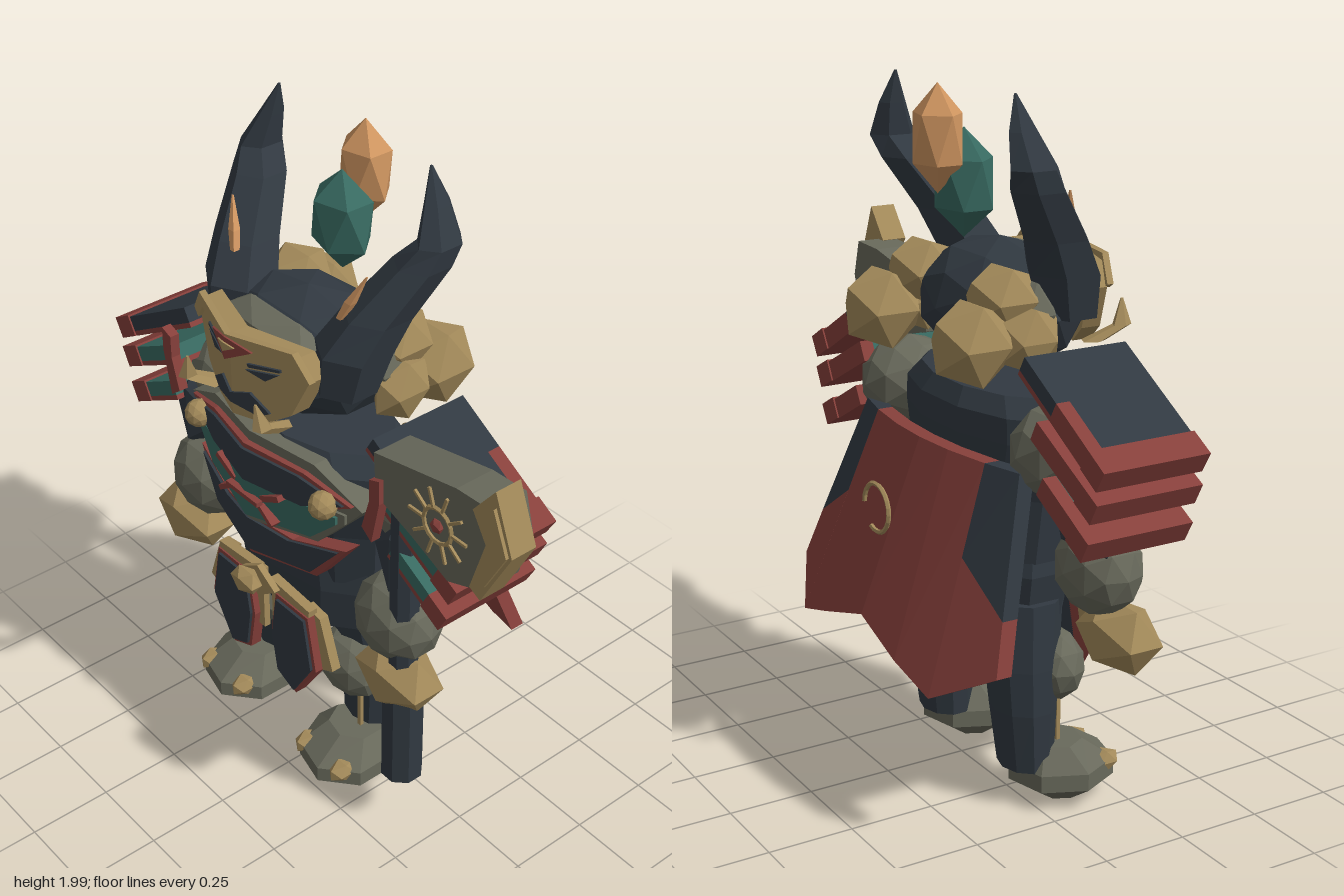
import * as THREE from 'three';

const mat = (name, color) => {
  const m = new THREE.MeshStandardMaterial({ color });
  m.name = name;
  return m;
};

export function createModel() {
  const dark = mat('dark blue steel', 0x313941), red = mat('dull red', 0x87403b);
  const teal = mat('teal', 0x386a61), gold = mat('old gold', 0xa38a5a);
  const stone = mat('stone', 0x68695b), orange = mat('amber', 0xcf9560);

  const root = new THREE.Group();
  root.name = 'hornedGuardian';
  const body = new THREE.Group();
  body.name = 'body';
  body.position.x = -0.11;
  root.add(body);

  // Faceted mesh from any geometry
  const add = (name, geo, material, pos = [0, 0, 0], parent = body) => {
    const g = geo.index ? geo.toNonIndexed() : geo;
    g.computeVertexNormals();
    const m = new THREE.Mesh(g, material);
    m.name = name;
    m.position.set(...pos);
    parent.add(m);
    return m;
  };
  const rock = (name, material, pos, scale, detail = 0, parent = body) =>
    add(name, new THREE.IcosahedronGeometry(1, detail).scale(...scale), material, pos, parent);
  const box = (name, size, material, pos, rz = 0, parent = body) => {
    const m = add(name, new THREE.BoxGeometry(...size), material, pos, parent);
    m.rotation.z = rz;
    return m;
  };

  // Closed body from level rings [x, y, z, rx, rz], listed bottom to top
  const loft = (name, rings, sides, material, parent = body) => {
    const p = [], idx = [];
    for (const [x, y, z, rx, rz] of rings)
      for (let j = 0; j < sides; j++) {
        const a = (j / sides) * Math.PI * 2 + Math.PI / sides;
        p.push(x + rx * Math.cos(a), y, z + rz * Math.sin(a));
      }
    const last = rings.length - 1, c0 = rings.length * sides;
    p.push(...rings[0].slice(0, 3), ...rings[last].slice(0, 3));
    for (let j = 0; j < sides; j++) {
      const k = (j + 1) % sides;
      for (let i = 0; i < last; i++) {
        const a = i * sides + j, b = i * sides + k;
        idx.push(a, a + sides, b, b, a + sides, b + sides);
      }
      idx.push(c0, j, k, c0 + 1, last * sides + k, last * sides + j);
    }
    const g = new THREE.BufferGeometry();
    g.setAttribute('position', new THREE.Float32BufferAttribute(p, 3));
    g.setIndex(idx);
    return add(name, g, material, [0, 0, 0], parent);
  };

  // Flat outline given thickness, then pushed in z by a rule
  const plate = (name, pts, depth, material, zRule, parent = body) => {
    const shape = new THREE.Shape(pts.map(([x, y]) => new THREE.Vector2(x, y)));
    const g = new THREE.ExtrudeGeometry(shape, { depth, bevelEnabled: false });
    const a = g.attributes.position;
    for (let i = 0; i < a.count; i++) a.setZ(i, a.getZ(i) + zRule(a.getX(i), a.getY(i)));
    return add(name, g, material, [0, 0, 0], parent);
  };
  const flip = (pts, s) => pts.map(([x, y]) => [x * s, y]);
  // Pair of mirrored halves swept back from the middle by a slope
  const wings = (name, half, depth, material, z, slope) => {
    for (const s of [-1, 1]) plate(name, flip(half, s), depth, material, (x) => z - slope * Math.abs(x));
  };
  const shrink = (pts, cx, sx, sy) => {
    const cy = pts.reduce((t, p) => t + p[1], 0) / pts.length;
    return pts.map(([x, y]) => [cx + (x - cx) * sx, cy + (y - cy) * sy]);
  };
  const rimmedWings = (name, half, depth, rim, fill, z, slope, sx, sy) => {
    wings(name + 'Rim', half, depth, rim, z, slope);
    wings(name, shrink(half, 0, sx, sy), depth + 0.009, fill, z, slope);
  };

  // Torso and skirt
  loft('torso', [[0, 0.74, 0.03, 0.31, 0.17], [0, 0.92, 0.04, 0.33, 0.18], [0, 1.08, 0.05, 0.38, 0.195],
    [0, 1.15, 0.05, 0.375, 0.195], [0, 1.2, 0.05, 0.31, 0.165]], 12, dark);
  loft('skirt', [[0, 0.56, 0.03, 0.29, 0.17], [0, 0.7, 0.03, 0.315, 0.18], [0, 0.8, 0.04, 0.3, 0.17]], 10, dark);

  // Chest armour
  wings('collar', [[0, 1.2], [0.22, 1.185], [0.38, 1.1], [0.33, 1.04], [0, 1.05]], 0.07, stone, 0.2, 0.22);
  rimmedWings('upperChestPlate', [[0, 1.168], [0.2, 1.155], [0.355, 1.11], [0.21, 1.035], [0, 1.035]], 0.06, red, dark, 0.23, 0.24, 0.94, 0.78);
  rimmedWings('chestMask', [[0, 1.055], [0.33, 1.07], [0.33, 1.04], [0.24, 0.94], [0, 0.905]], 0.055, stone, teal, 0.23, 0.24, 0.93, 0.8);
  rimmedWings('bellyPlate', [[0, 0.92], [0.15, 0.9], [0.33, 0.945], [0.23, 0.81], [0, 0.785]], 0.05, red, dark, 0.23, 0.24, 0.93, 0.82);
  box('maskBar', [0.14, 0.014, 0.02], red, [0, 1.0, 0.295]);
  for (const s of [-1, 1]) {
    box('maskBrow', [0.09, 0.018, 0.03], red, [s * 0.1, 1.03, 0.27], s * 0.5);
    box('maskFang', [0.07, 0.015, 0.04], red, [s * 0.09, 0.97, 0.275], -s * 0.6);
    rock('chestStud', gold, [s * 0.28, 1.095, 0.24], [0.042, 0.042, 0.042], 1);
  }

  // Head, face and brow
  rock('helmet', dark, [0, 1.4, 0.055], [0.29, 0.18, 0.205], 1);
  rock('browBand', stone, [0, 1.5, 0.17], [0.2, 0.05, 0.09]);
  wings('facePlate', [[0, 1.53], [0.2, 1.525], [0.235, 1.46], [0.18, 1.34], [0.1, 1.285], [0, 1.28]], 0.06, gold, 0.26, 0.32);
  wings('browRidge', [[0, 1.535], [0.2, 1.545], [0.25, 1.47], [0.22, 1.455], [0.18, 1.51], [0, 1.505]], 0.02, gold, 0.315, 0.32);
  wings('foreheadMark', [[0, 1.53], [0.085, 1.508], [0, 1.46]], 0.02, red, 0.32, 0.3);
  wings('foreheadInset', [[0, 1.515], [0.035, 1.506], [0, 1.487]], 0.006, gold, 0.339, 0.3);
  wings('moustache', [[0, 1.35], [0.06, 1.37], [0.12, 1.325], [0.085, 1.305], [0, 1.32]], 0.008, dark, 0.319, 0.32);
  wings('eye', [[0.05, 1.44], [0.15, 1.457], [0.11, 1.425]], 0.008, dark, 0.319, 0.32);
  wings('eyebrow', [[0.055, 1.46], [0.155, 1.475], [0.155, 1.467], [0.06, 1.45]], 0.008, dark, 0.319, 0.32);

  for (const s of [-1, 1]) {
    loft('tusk', [[s * 0.14, 1.29, 0.27, 0.03, 0.04], [s * 0.165, 1.33, 0.345, 0.022, 0.03], [s * 0.15, 1.4, 0.355, 0.004, 0.004]], 5, gold);
    // Horns and their inlays
    loft('horn', [[s * 0.23, 1.4, 0.12, 0.09, 0.085], [s * 0.24, 1.52, 0.1, 0.11, 0.105], [s * 0.275, 1.62, 0.05, 0.095, 0.095],
      [s * 0.335, 1.76, -0.045, 0.078, 0.08], [s * 0.365, 1.82, -0.075, 0.053, 0.07],
      [s * 0.335, 1.91, -0.09, 0.03, 0.042], [s * 0.305, 2.0, -0.095, 0.004, 0.004]], 6, dark);
    loft('hornInlay', [[s * 0.225, 1.61, 0.13, 0.012, 0.014], [s * 0.245, 1.66, 0.115, 0.017, 0.016], [s * 0.28, 1.74, 0.09, 0.003, 0.003]], 4, orange);
    // Hair knots at the back
    rock('upperHairKnot', gold, [s * 0.21, 1.46, -0.07], [0.1, 0.1, 0.11]);
    rock('lowerHairKnot', gold, [s * 0.24, 1.36, -0.18], [0.11, 0.125, 0.125]);
    rock('sideHairKnot', gold, [s * 0.28, 1.36, -0.03], [0.065, 0.1, 0.1]);
    rock('hairTie', stone, [s * 0.22, 1.42, 0], [0.09, 0.1, 0.08]);
  }

  // Floating crystals, standing on a point
  const crystal = (name, y, z, r, h, m) =>
    add(name, new THREE.IcosahedronGeometry(1).rotateZ(0.5536).scale(r * 1.1, h, r * 0.9), m, [0, y, z]);
  crystal('amberCrystal', 1.855, -0.14, 0.08, 0.145, orange);
  crystal('tealCrystal', 1.733, -0.06, 0.095, 0.147, teal);

  for (const s of [-1, 1]) {
    // Arms
    rock('shoulder', stone, [s * 0.405, 1.09, 0], [0.14, 0.135, 0.15], 1);
    rock('upperArm', dark, [s * 0.46, 0.96, 0.06], [0.12, 0.17, 0.12]);
    rock('forearm', stone, [s * 0.43 + 0.015, 0.75, 0.11], [0.138, 0.135, 0.115], 1);
    rock('fist', gold, [s * 0.48, 0.572, 0.135], [0.15, 0.105, 0.1]);

    // Layered shoulder guards: [start x, start y, end x, end y]
    [[0.4, 1.335, 0.76, 1.125], [0.46, 1.18, 0.735, 1.035], [0.49, 1.04, 0.7, 0.925]].forEach(([x0, y0, x1, y1], i) => {
      const guard = new THREE.Group(), len = Math.hypot(x1 - x0, y1 - y0);
      guard.name = 'shoulderGuard' + (i + 1);
      guard.position.set((s * (x0 + x1)) / 2, (y0 + y1) / 2, 0.025);
      guard.rotation.z = s * Math.atan2(y1 - y0, x1 - x0);
      body.add(guard);
      const panel = len - 0.08, tone = i ? teal : dark;
      box('guardUnderside', [panel, 0.015, 0.31], red, [-s * 0.04, -0.026, 0], 0, guard);
      box('guardPanel', [panel, 0.045, 0.27], tone, [-s * 0.04, 0.004, 0.02], 0, guard);
      box('guardBackTrim', [panel * 0.5, 0.045, 0.04], red, [s * (len / 2 - 0.08 - panel / 4), 0.004, -0.135], 0, guard);
      box('guardBackPanel', [panel * 0.5, 0.045, 0.04], i ? red : dark, [-s * (len / 2 - panel / 4), 0.004, -0.135], 0, guard);
      box('guardEdge', [0.08, 0.065, 0.32], red, [s * (len / 2 - 0.04), 0, 0], 0, guard);
    });
    plate('guardBracket', flip([[0.44, 1.26], [0.48, 1.275], [0.48, 1.2], [0.45, 1.06], [0.41, 1.09], [0.44, 1.19]], s), 0.03, red, () => 0.185);

    // Legs
    loft('leg', [[s * 0.22, 0.12, 0.01, 0.09, 0.075], [s * 0.22, 0.3, 0, 0.105, 0.09], [s * 0.21, 0.43, 0, 0.115, 0.1],
      [s * 0.18, 0.62, 0.01, 0.135, 0.115]], 10, dark);
    rock('knee', stone, [s * 0.22, 0.41, 0.085], [0.128, 0.108, 0.09], 1);
    box('shinStrip', [0.014, 0.17, 0.012], gold, [s * 0.26, 0.27, 0.09]);
    // Feet
    loft('foot', [[s * 0.24, 0.01, 0.115, 0.06, 0.06], [s * 0.24, 0.07, 0.115, 0.145, 0.155],
      [s * 0.24, 0.12, 0.115, 0.145, 0.155], [s * 0.24, 0.185, 0.09, 0.085, 0.08]], 7, stone);
    for (const t of [0.16, 0.32]) rock('toeClaw', gold, [s * t, 0.115, 0.21], [0.035, 0.035, 0.05]);

    // Belt strips and hip guards
    box('beltStrip', [0.18, 0.035, 0.03], gold, [s * 0.12, 0.662, 0.225], -s * 0.08);
    box('hangingStrip', [0.05, 0.22, 0.02], gold, [s * 0.045, 0.565, 0.215]);
    plate('hipTrim', flip([[0.17, 0.66], [0.235, 0.65], [0.29, 0.49], [0.23, 0.46]], s), 0.03, gold, () => 0.19);
    const hip = flip([[0.065, 0.65], [0.21, 0.65], [0.245, 0.47], [0.15, 0.325], [0.065, 0.36], [0.04, 0.5]], s);
    plate('hipGuardRim', hip, 0.035, red, () => 0.21);
    plate('hipGuard', shrink(hip, s * 0.135, 0.87, 0.92), 0.044, dark, () => 0.21);
  }
  rock('beltBoss', gold, [0, 0.69, 0.3], [0.06, 0.042, 0.035]);
  wings('beltPoint', [[0, 0.72], [0.08, 0.67], [0, 0.61]], 0.02, gold, 0.24, 0);

  // Cape in columns: [top x, bottom x, bottom y]; outer columns carry a dark panel
  const capeZ = (x, y) => -0.2 - 0.39 * (1.05 - y) + 0.36 * x * x;
  const cols = [[0, 0, 0.57], [0.14, 0.2, 0.51], [0.29, 0.36, 0.46], [0.41, 0.54, 0.56]];
  for (const s of [-1, 1])
    for (let i = 0; i < 3; i++) {
      const [a, b, c] = cols[i], [d, e, f] = cols[i + 1];
      const at = (t, x0, x1, y1) => [x0 + (x1 - x0) * t, 1.05 + (y1 - 1.05) * t];
      const part = (name, t0, t1, u0, u1, m) =>
        plate(name, flip([at(t0, a, b, c), at(t1, a, b, c), at(u1, d, e, f), at(u0, d, e, f)], s), 0.045, m, capeZ);
      if (i < 2) part('cape', 0, 1, 0, 1, red);
      else {
        part('capePanel', 0, 0.4, 0, 0.72, dark);
        part('cape', 0.4, 1, 0.72, 1, red);
      }
    }
  add('capeRing', new THREE.TorusGeometry(0.068, 0.007, 5, 18, 5.2), gold, [0, 0.87, -0.335]);

  // Great axe
  const axe = new THREE.Group();
  axe.name = 'axe';
  root.add(axe);
  loft('axeShaft', [[0.395, 0.22, 0.14, 0.062, 0.062], [0.395, 0.56, 0.14, 0.062, 0.062],
    [0.395, 0.6, 0.14, 0.042, 0.045], [0.395, 1.25, 0.14, 0.042, 0.045]], 8, dark, axe);
  plate('axeBlade', [[0.33, 1.34], [0.64, 1.405], [0.76, 1.41], [0.79, 1.3], [0.75, 1.15], [0.62, 1.1], [0.48, 1.16], [0.34, 1.21]],
    0.12, stone, () => 0.08, axe);
  plate('axeEdge', [[0.73, 1.41], [0.805, 1.505], [0.87, 1.34], [0.77, 1.15], [0.73, 1.17], [0.78, 1.33]], 0.08, gold, () => 0.15, axe);
  plate('axeEdgeRidge', [[0.79, 1.43], [0.81, 1.46], [0.86, 1.34], [0.79, 1.21], [0.825, 1.34]], 0.01, gold, () => 0.23, axe);
  // Sunburst on the blade
  add('sunRing', new THREE.TorusGeometry(0.052, 0.007, 5, 14), gold, [0.58, 1.255, 0.202], axe);
  rock('sunGem', red, [0.58, 1.255, 0.205], [0.022, 0.022, 0.015], 0, axe);
  for (let i = 0; i < 10; i++) {
    const a = (i / 10) * Math.PI * 2;
    box('sunRay', [0.055, 0.008, 0.009], gold, [0.58 + 0.08 * Math.cos(a), 1.255 + 0.08 * Math.sin(a), 0.203], a, axe);
  }
  return root;
}
